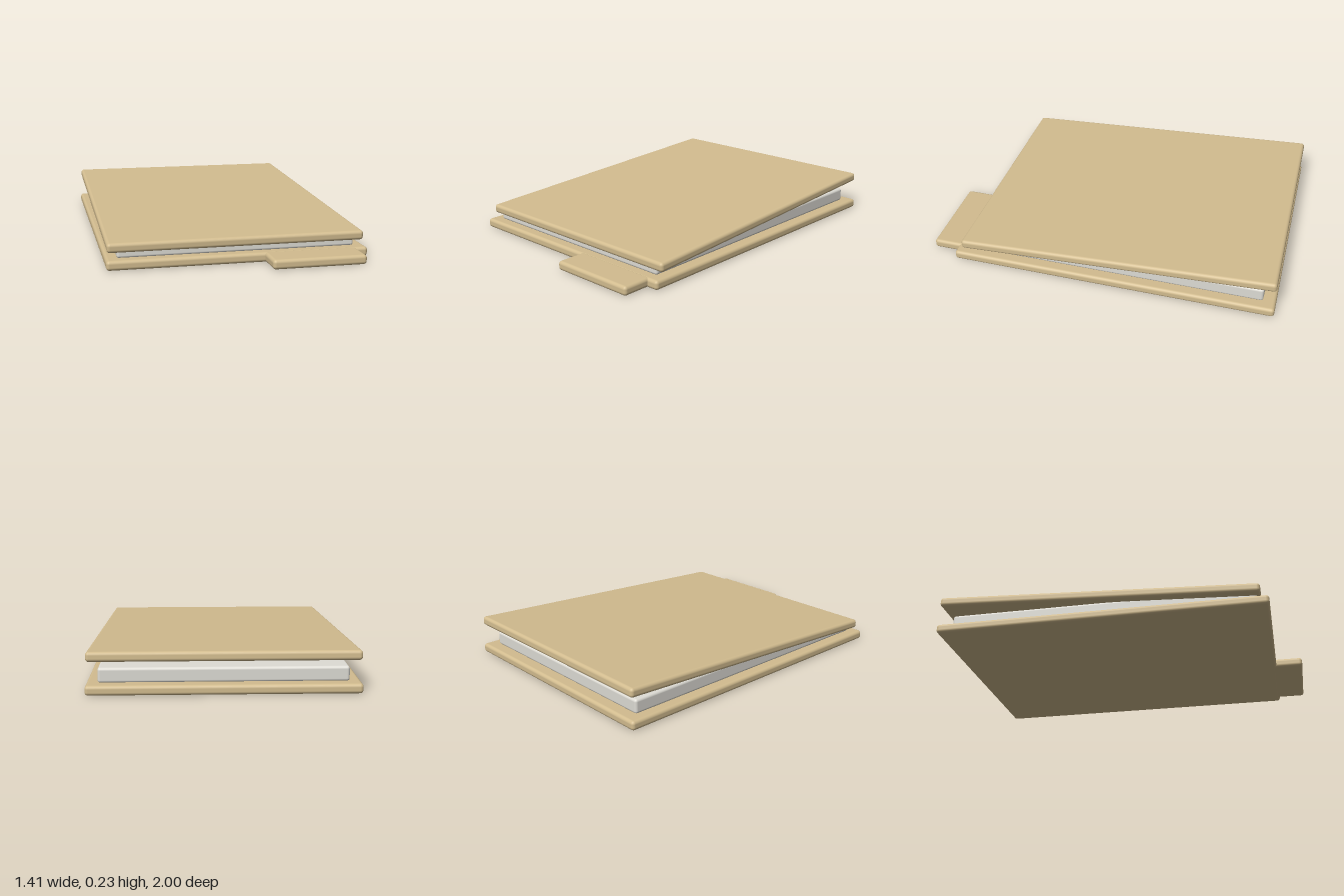
import * as THREE from 'three';
import { RoundedBoxGeometry } from 'three/addons/geometries/RoundedBoxGeometry.js';

export function createModel() {
  const group = new THREE.Group();
  const card = new THREE.MeshStandardMaterial({ color: 0xd2bc8f });
  card.name = 'tan card';
  const paper = new THREE.MeshStandardMaterial({ color: 0xdedcd5 });
  paper.name = 'off-white paper';

  // Rounded slab given by its size and centre
  function slab(name, material, size, centre, radius) {
    const mesh = new THREE.Mesh(new RoundedBoxGeometry(...size, 4, radius), material);
    mesh.name = name;
    mesh.position.set(...centre);
    group.add(mesh);
    return mesh;
  }

  // Back cover lying flat, with an index tab at the front edge
  slab('backCover', card, [1.41, 0.052, 1.845], [0, 0.026, -0.0775], 0.018);
  slab('indexTab', card, [0.51, 0.052, 0.18], [0.385, 0.0262, 0.91], 0.018);

  // Stack of sheets between the covers
  slab('paperStack', paper, [1.29, 0.08, 1.715], [0, 0.088, -0.0725], 0.015);

  // Front cover, tilted open towards the back
  const cover = slab('frontCover', card, [1.394, 0.052, 1.8], [0, 0.153, -0.098], 0.018);
  cover.rotation.x = THREE.MathUtils.degToRad(3);

  return group;
}
